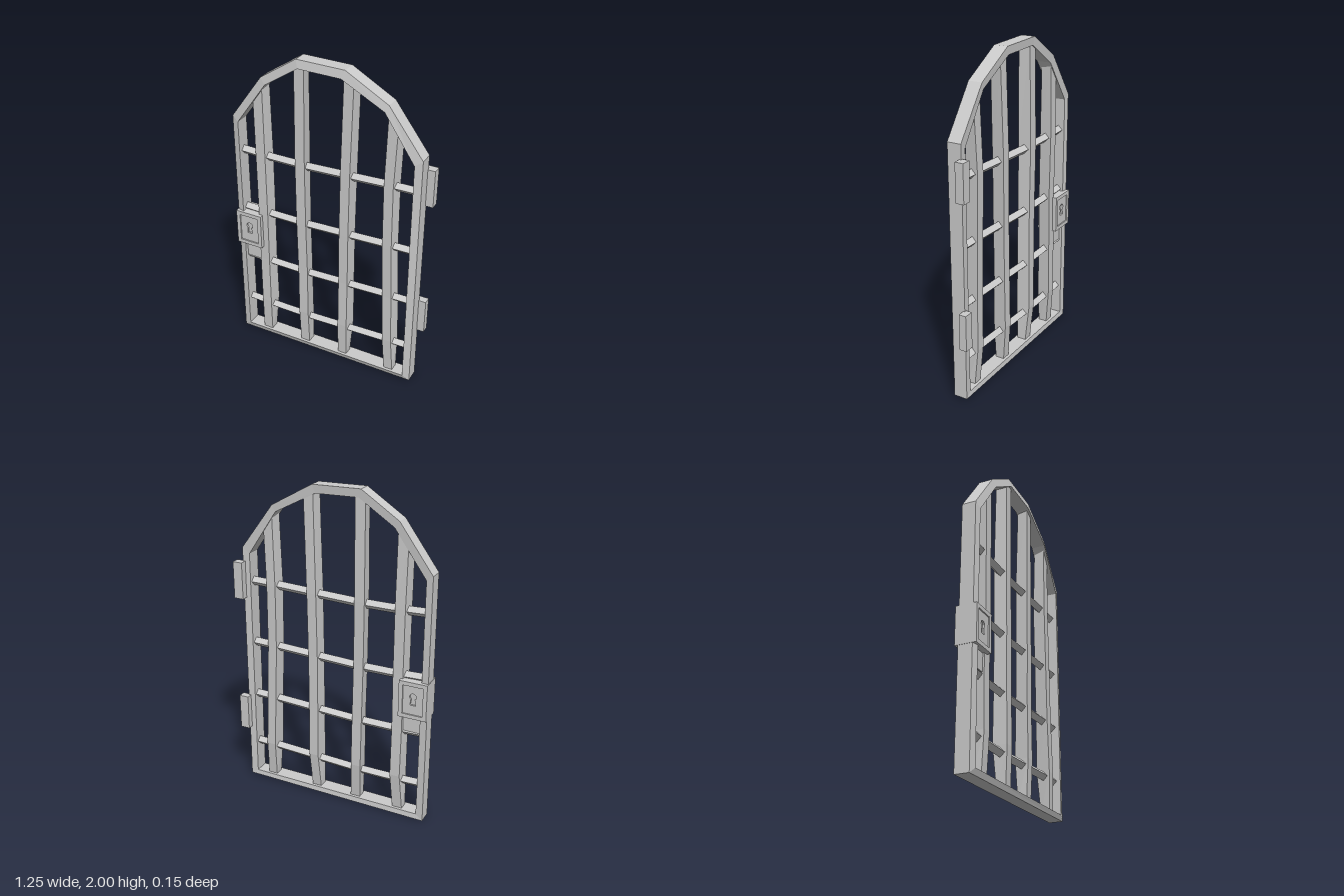
import * as THREE from 'three';

const material = new THREE.MeshStandardMaterial({ color: 0xcccccc, flatShading: true });

function add(parent, geometry, name, x = 0, y = 0, z = 0) {
  const mesh = new THREE.Mesh(geometry, material);
  mesh.name = name;
  mesh.position.set(x, y, z);
  parent.add(mesh);
  return mesh;
}

// Skins a row of four-cornered rings; a closed loft joins the last ring to the first.
function loft(rings, closed = false) {
  const pos = [];
  const quad = (a, b, c, d) => pos.push(...a, ...b, ...c, ...a, ...c, ...d);
  const n = rings.length;
  for (let i = 0; i < (closed ? n : n - 1); i++) {
    const r = rings[i], s = rings[(i + 1) % n];
    for (let j = 0; j < 4; j++) {
      const k = (j + 1) % 4;
      quad(r[j], r[k], s[k], s[j]);
    }
  }
  if (!closed) {
    quad(...[...rings[0]].reverse());
    quad(...rings[n - 1]);
  }
  const g = new THREE.BufferGeometry();
  g.setAttribute('position', new THREE.Float32BufferAttribute(pos, 3));
  g.computeVertexNormals();
  return g;
}

// Frame outline, from bottom left clockwise over the arch
const outer = [[-0.63, 0], [-0.625, 1.57], [-0.42, 1.85], [-0.19, 2], [0.11, 1.995], [0.37, 1.85], [0.58, 1.57], [0.58, 0.01]];
const inner = [[-0.585, 0.035], [-0.585, 1.54], [-0.39, 1.81], [-0.175, 1.95], [0.09, 1.945], [0.35, 1.81], [0.535, 1.535], [0.535, 0.04]];

// Height of the arch's underside at x
function archHeight(x) {
  for (let i = 1; i < 6; i++) {
    const [x0, y0] = inner[i], [x1, y1] = inner[i + 1];
    if (x <= x1) return y0 + (y1 - y0) * (x - x0) / (x1 - x0);
  }
  return inner[6][1];
}

// Upright bars: left edge x at each station, width, sideways shift of the back edge
const stations = [0.025, 0.27, 0.6, 0.95, 1.35];
const backZ = [-0.012, -0.034, -0.03, -0.028, -0.032, -0.025];
const frontZ = [0.042, 0.052, 0.048, 0.05, 0.048, 0.045];
const uprights = [
  { left: [-0.485, -0.48, -0.482, -0.478, -0.48, -0.483], width: 0.063, shift: 0.01 },
  { left: [-0.2, -0.203, -0.205, -0.21, -0.213, -0.208], width: 0.063, shift: -0.006 },
  { left: [0.072, 0.075, 0.076, 0.078, 0.083, 0.1], width: 0.06, shift: 0.009 },
  { left: [0.4, 0.385, 0.373, 0.36, 0.355, 0.368], width: 0.058, shift: 0.01 },
];

function uprightGeometry({ left, width, shift }) {
  return loft(left.map((x, i) => {
    const y = px => (i < 5 ? stations[i] : archHeight(px) + 0.015);
    const s = i === 0 ? 0 : shift;
    return [
      [x, y(x), frontZ[i]], [x + width, y(x + width), frontZ[i]],
      [x + width + s, y(x + width + s), backZ[i]], [x + s, y(x + s), backZ[i]],
    ];
  }));
}

// Slightly bent cross bar with a diamond section
function crossBarGeometry(y) {
  const r = 0.028, z = 0.01;
  const path = [[-0.595, 0.005], [-0.37, -0.003], [-0.15, -0.004], [0.11, 0.006], [0.38, 0.017], [0.545, 0.02]];
  return loft(path.map(([x, dy]) => [
    [x, y + dy + r, z], [x, y + dy, z + r], [x, y + dy - r, z], [x, y + dy, z - r],
  ]));
}

function rectangle(w, h, Type = THREE.Shape) {
  return new Type([[-w, -h], [w, -h], [w, h], [-w, h]].map(([x, y]) => new THREE.Vector2(x / 2, y / 2)));
}

const extrude = (shape, depth) => new THREE.ExtrudeGeometry(shape, { depth, bevelEnabled: false, curveSegments: 6 });

// One face of the lock: raised rim and a panel pierced by a keyhole
function lockFace() {
  const face = new THREE.Group();
  face.name = 'lockFace';
  const rim = rectangle(0.175, 0.232);
  rim.holes.push(rectangle(0.125, 0.182, THREE.Path));
  add(face, extrude(rim, 0.02), 'lockRim', 0, 0, 0.045);
  const panel = rectangle(0.127, 0.184);
  const keyhole = new THREE.Path();
  keyhole.moveTo(-0.018, -0.032);
  keyhole.lineTo(0.018, -0.032);
  keyhole.lineTo(0.011, 0.005);
  keyhole.absarc(0, 0.022, 0.021, -0.95, Math.PI + 0.95, false);
  keyhole.closePath();
  panel.holes.push(keyhole);
  add(face, extrude(panel, 0.012), 'keyholePanel', 0, 0, 0.045);
  return face;
}

export function createModel() {
  const gate = new THREE.Group();
  gate.name = 'archedGate';

  // Arched frame, its front face sloping towards the outer edge
  add(gate, loft(outer.map(([ox, oy], i) => {
    const [ix, iy] = inner[i];
    return [[ox, oy, 0.051], [ix, iy, 0.061], [ix, iy, -0.031], [ox, oy, -0.035]];
  }), true), 'frame');

  // Grille
  uprights.forEach((bar, i) => add(gate, uprightGeometry(bar), `uprightBar${i + 1}`));
  [0.23, 0.575, 0.935, 1.335].forEach((y, i) => add(gate, crossBarGeometry(y), `crossBar${i + 1}`));

  // Lock with a keyhole on both sides
  const lock = new THREE.Group();
  lock.name = 'lock';
  lock.position.set(-0.542, 0.81, 0.01);
  add(lock, new THREE.BoxGeometry(0.175, 0.232, 0.09), 'lockBody');
  const back = lockFace();
  back.rotation.y = Math.PI;
  lock.add(lockFace(), back);
  gate.add(lock);
  add(gate, new THREE.BoxGeometry(0.13, 0.13, 0.05), 'lockSupport', -0.53, 0.65, 0.012);

  // Hinge blocks on the back of the left side
  add(gate, new THREE.BoxGeometry(0.06, 0.23, 0.052), 'upperHinge', 0.595, 1.37, -0.05);
  add(gate, new THREE.BoxGeometry(0.06, 0.225, 0.046), 'lowerHinge', 0.595, 0.478, -0.048);

  return gate;
}
